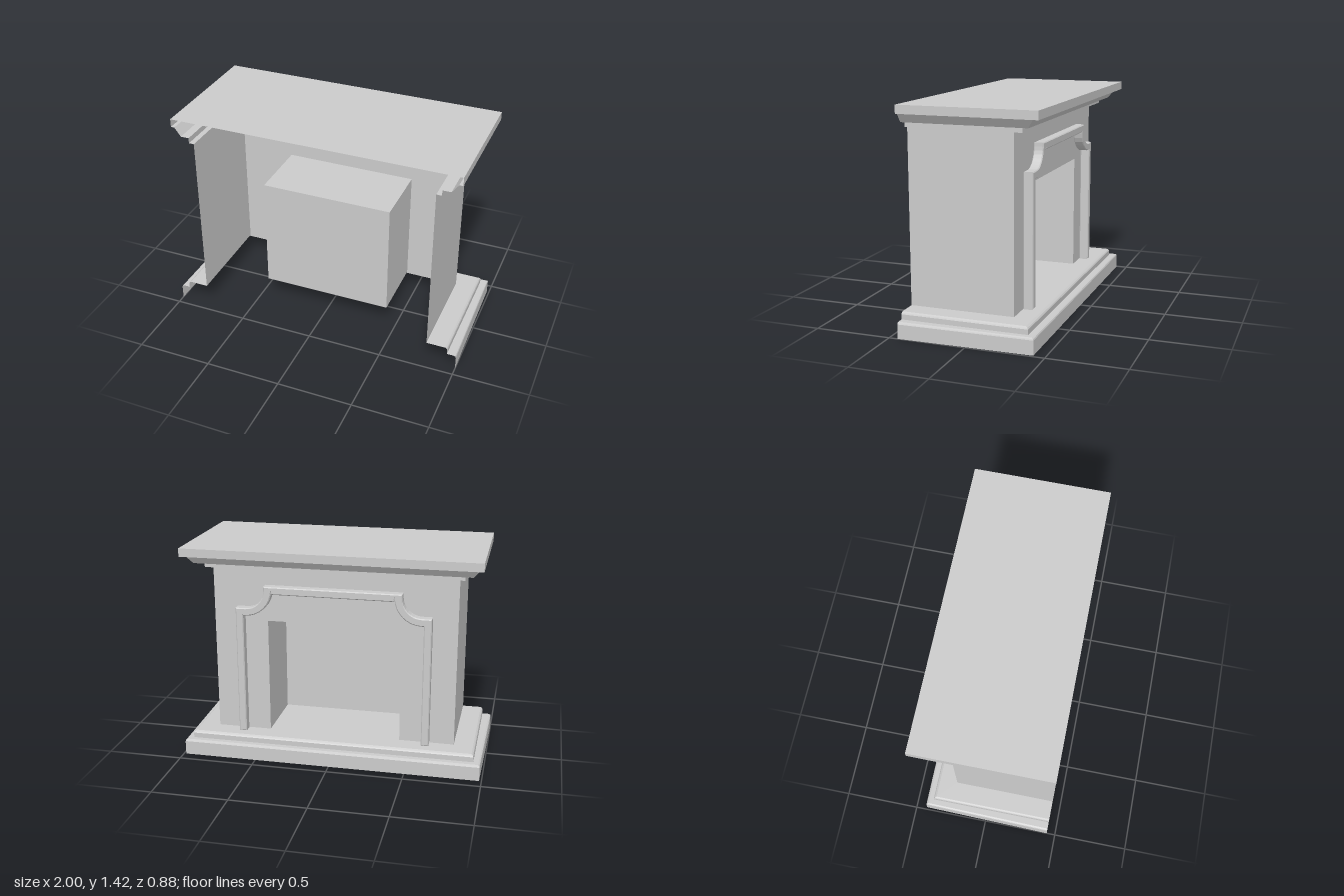
import * as THREE from 'three';

const material = new THREE.MeshStandardMaterial({ color: 0xcccccc, flatShading: true, side: THREE.DoubleSide });

const BACK = 0.442;   // open rear edge against the wall
const FACE = -0.24;   // plane of the chimney breast
const HALF = 0.8;     // half width of the chimney breast
const LOW = 0.153;    // hearth level
const HIGH = 1.277;   // underside of the mantel

function add(group, name, geometry) {
  const mesh = new THREE.Mesh(geometry, material);
  mesh.name = name;
  group.add(mesh);
  return mesh;
}

// Sweeps a profile around three sides; rows are [half width, front depth, y, half width at rear].
function threeSided(profile) {
  const positions = [];
  const index = [];
  for (const [x, front, y, rear = x] of profile) {
    positions.push(rear, y, BACK, x, y, -front, -x, y, -front, -rear, y, BACK);
  }
  for (let j = 0; j < profile.length - 1; j++) {
    for (let i = 0; i < 3; i++) {
      const a = j * 4 + i, b = a + 1, c = b + 4, d = a + 4;
      index.push(a, b, c, a, c, d);
    }
  }
  const indexed = new THREE.BufferGeometry();
  indexed.setAttribute('position', new THREE.Float32BufferAttribute(positions, 3));
  indexed.setIndex(index);
  const geometry = indexed.toNonIndexed();
  geometry.computeVertexNormals();
  return geometry;
}

// Outline of one half of the surround, from the floor up to the top middle.
function surroundEdge(inset) {
  const points = [[0.64 - inset, LOW], [0.64 - inset, 1.015 - inset]];
  const cx = 0.575, cy = 1.14, r = 0.125 + inset, steps = 8;
  for (let i = 0; i <= steps; i++) {
    const t = (i / steps) * Math.PI / 2;
    points.push([cx - r * Math.sin(t), cy - r * Math.cos(t)]);
  }
  points.push([cx - r, 1.165 - inset]);
  return points.map(([x, y]) => new THREE.Vector2(x, y));
}

function mirrored(points) {
  return points.map((p) => new THREE.Vector2(-p.x, p.y)).reverse();
}

export function createModel() {
  const model = new THREE.Group();
  model.name = 'fireplace';

  // Stepped hearth base with eased edges, slightly wider at the rear
  add(model, 'hearthBase', threeSided([
    [0.985, 0.426, 0, 1], [0.985, 0.426, 0.092, 1],
    [0.982, 0.422, 0.1, 0.996], [0.973, 0.412, 0.105, 0.985],
    [0.94, 0.378, 0.105], [0.94, 0.378, 0.138],
    [0.936, 0.372, 0.146], [0.926, 0.36, LOW], [HALF, -FACE, LOW],
  ]));

  // Chimney breast front with the fire opening
  const wall = new THREE.Shape([
    [-HALF, LOW], [-0.44, LOW], [-0.44, 0.92], [0.44, 0.92],
    [0.44, LOW], [HALF, LOW], [HALF, HIGH], [-HALF, HIGH],
  ].map(([x, y]) => new THREE.Vector2(x, y)));
  add(model, 'breastFront', new THREE.ShapeGeometry(wall).rotateY(Math.PI).translate(0, 0, FACE));

  // Chimney breast sides
  for (const side of [-1, 1]) {
    const geometry = new THREE.PlaneGeometry(BACK - FACE, HIGH - LOW).rotateY(side * Math.PI / 2);
    geometry.translate(side * HALF, (HIGH + LOW) / 2, (BACK + FACE) / 2);
    add(model, side > 0 ? 'leftBreastSide' : 'rightBreastSide', geometry);
  }

  // Firebox: a box with its face towards the room left out
  const firebox = new THREE.BoxGeometry(0.88, 0.92 - LOW, 0.44);
  firebox.setIndex(Array.from(firebox.index.array).slice(0, 30));
  firebox.clearGroups();
  firebox.translate(0, (0.92 + LOW) / 2, FACE + 0.22);
  add(model, 'firebox', firebox);

  // Raised surround with scooped shoulders
  const outer = surroundEdge(0);
  const inner = surroundEdge(0.05);
  const frame = new THREE.Shape([
    ...outer, ...mirrored(outer), ...mirrored(inner).reverse(), ...inner.slice().reverse(),
  ]);
  const surround = new THREE.ExtrudeGeometry(frame, {
    depth: 0.052, bevelEnabled: true, bevelThickness: 0.006,
    bevelSize: 0.006, bevelOffset: -0.006, bevelSegments: 1,
  });
  add(model, 'surround', surround.translate(0, 0, -0.299));

  // Mantel cornice: fillet, sloped moulding and shelf edge
  add(model, 'mantelCornice', threeSided([
    [HALF, -FACE, HIGH], [0.835, 0.305, HIGH], [0.835, 0.305, 1.313],
    [0.89, 0.36, 1.313], [0.932, 0.402, 1.37],
    [0.956, 0.442, 1.37], [0.956, 0.442, 1.424],
  ]));

  // Mantel shelf top
  add(model, 'mantelTop', new THREE.PlaneGeometry(1.912, 2 * BACK).rotateX(-Math.PI / 2).translate(0, 1.424, 0));

  return model;
}
